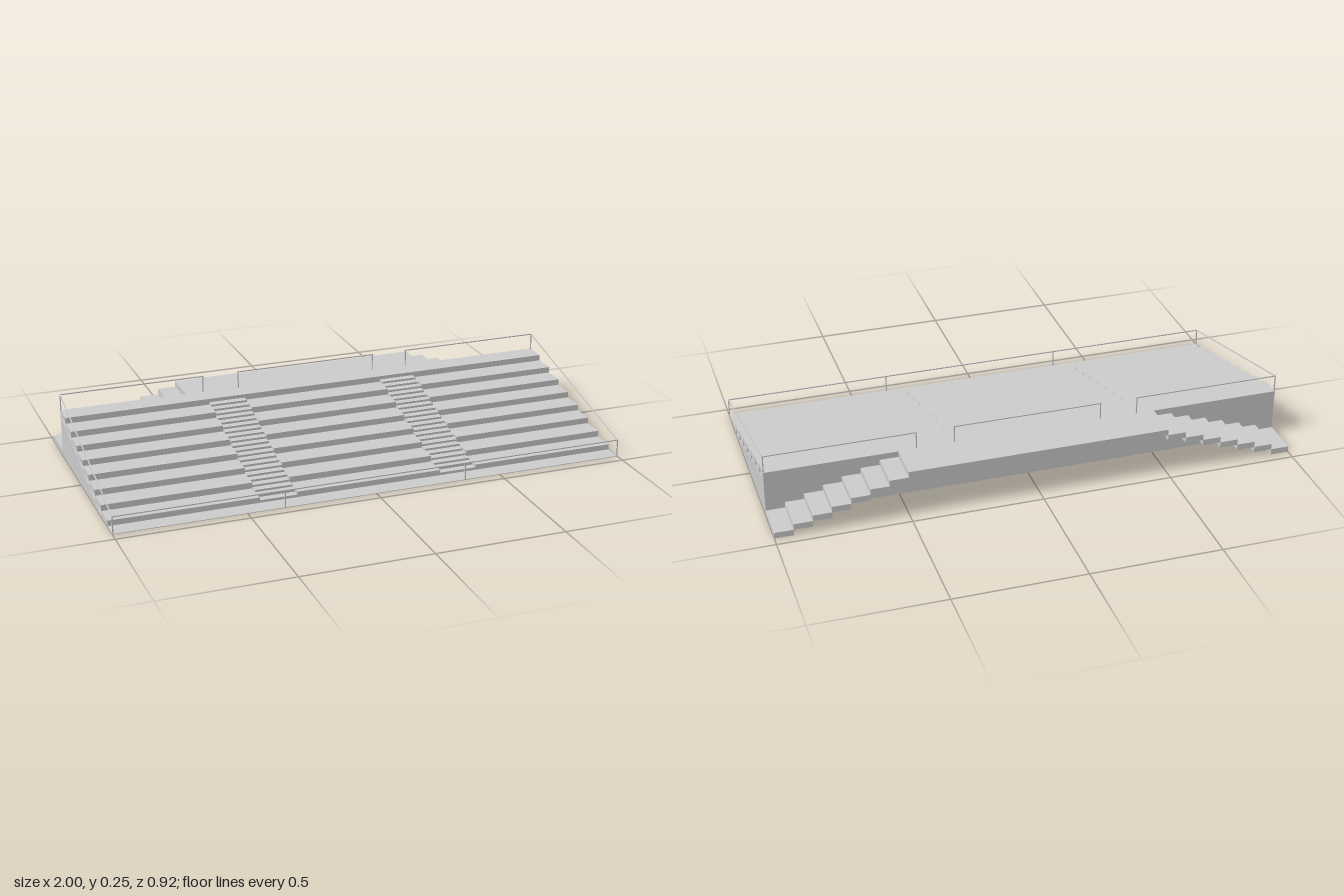
import * as THREE from 'three';

const ROWS = 8, RISE = 0.0232, RUN = 0.0875, FRONT = 0.39, BACK = -0.307;
const AISLE_IN = 0.285, AISLE_OUT = 0.43;

export function createModel() {
  const model = new THREE.Group();
  const mat = new THREE.MeshStandardMaterial({ color: 0xcccccc, flatShading: true });

  // Box given by its limits on each axis
  function block(parent, name, x0, x1, y0, y1, z0, z1) {
    const mesh = new THREE.Mesh(new THREE.BoxGeometry(x1 - x0, y1 - y0, z1 - z0), mat);
    mesh.position.set((x0 + x1) / 2, (y0 + y1) / 2, (z0 + z1) / 2);
    mesh.name = name;
    parent.add(mesh);
  }
  function group(name) {
    const g = new THREE.Group();
    g.name = name;
    model.add(g);
    return g;
  }

  // Ground plate and the sloping wedge under the seating
  block(model, 'groundPlate', -1, 1, 0, 0.002, BACK, 0.46);
  const profile = new THREE.Shape([
    new THREE.Vector2(-0.3, 0), new THREE.Vector2(-BACK, 0), new THREE.Vector2(-BACK, 0.163),
  ]);
  const wedgeGeo = new THREE.ExtrudeGeometry(profile, { depth: 2, bevelEnabled: false });
  wedgeGeo.rotateY(Math.PI / 2).translate(-1, 0, 0);
  const wedge = new THREE.Mesh(wedgeGeo, mat);
  wedge.name = 'supportWedge';
  model.add(wedge);

  // Seating tiers, split by two aisles; the top one runs through
  const tiers = group('seatingTiers');
  const sections = [[-1, -AISLE_OUT], [-AISLE_IN, AISLE_IN], [AISLE_OUT, 1]];
  for (let i = 0; i < ROWS; i++) {
    const z1 = FRONT - i * RUN, y0 = i * RISE;
    const spans = i === ROWS - 1 ? [[-1, 1]] : sections;
    for (const [a, b] of spans) block(tiers, 'tier', a, b, y0, y0 + RISE, z1 - RUN, z1);
  }

  // Aisle stairs, three steps to each tier
  const aisles = group('aisleStairs');
  const stepRun = RUN / 3;
  for (const x0 of [-AISLE_OUT, AISLE_IN]) {
    for (let k = 0; k < 21; k++) {
      const top = 0.012 + k * 0.008, z1 = FRONT - k * stepRun;
      block(aisles, 'aisleStep', x0, x0 + AISLE_OUT - AISLE_IN,
        Math.max(0, top - RISE), top, z1 - stepRun, z1);
    }
  }

  // Rear walkway with a flight of steps going down at each end
  const rear = group('rearWalkway');
  block(rear, 'landing', -0.5, 0.5, 7 * RISE, 8 * RISE, -0.46, BACK);
  const w = 0.5 / 7;
  for (const s of [-1, 1]) {
    for (let j = 0; j < 7; j++) {
      const a = s * (0.5 + j * w), b = s * (0.5 + (j + 1) * w);
      block(rear, 'rearStep', Math.min(a, b), Math.max(a, b),
        (6 - j) * RISE, (7 - j) * RISE, -0.46, BACK);
    }
  }

  // Thin railings
  const rails = group('railings');
  const t = 0.004, h = t / 2, X = 1 - h, ZF = 0.46 - h, ZB = -0.305;
  const YF = 0.068, YB = 0.251, deck = ROWS * RISE;
  function bar(name, a, b) {
    const p = new THREE.Vector3(...a), q = new THREE.Vector3(...b);
    const mesh = new THREE.Mesh(new THREE.BoxGeometry(t, t, p.distanceTo(q) + t), mat);
    mesh.position.copy(p).add(q).multiplyScalar(0.5);
    mesh.lookAt(q);
    mesh.name = name;
    rails.add(mesh);
  }
  bar('frontRail', [-X, YF, ZF], [X, YF, ZF]);
  for (const x of [-X, -0.357, 0.357, X]) block(rails, 'frontPost', x - h, x + h, 0, YF, ZF - h, ZF + h);
  for (const x of [-X, X]) bar('sideRail', [x, YF, ZF], [x, YB, ZB]);
  for (const [a, b] of [[-X, -AISLE_OUT], [-AISLE_IN, AISLE_IN], [AISLE_OUT, X]]) {
    bar('backRail', [a, YB, ZB], [b, YB, ZB]);
    for (const x of [a, b]) block(rails, 'backPost', x - h, x + h, deck, YB, ZB - h, ZB + h);
  }
  return model;
}
